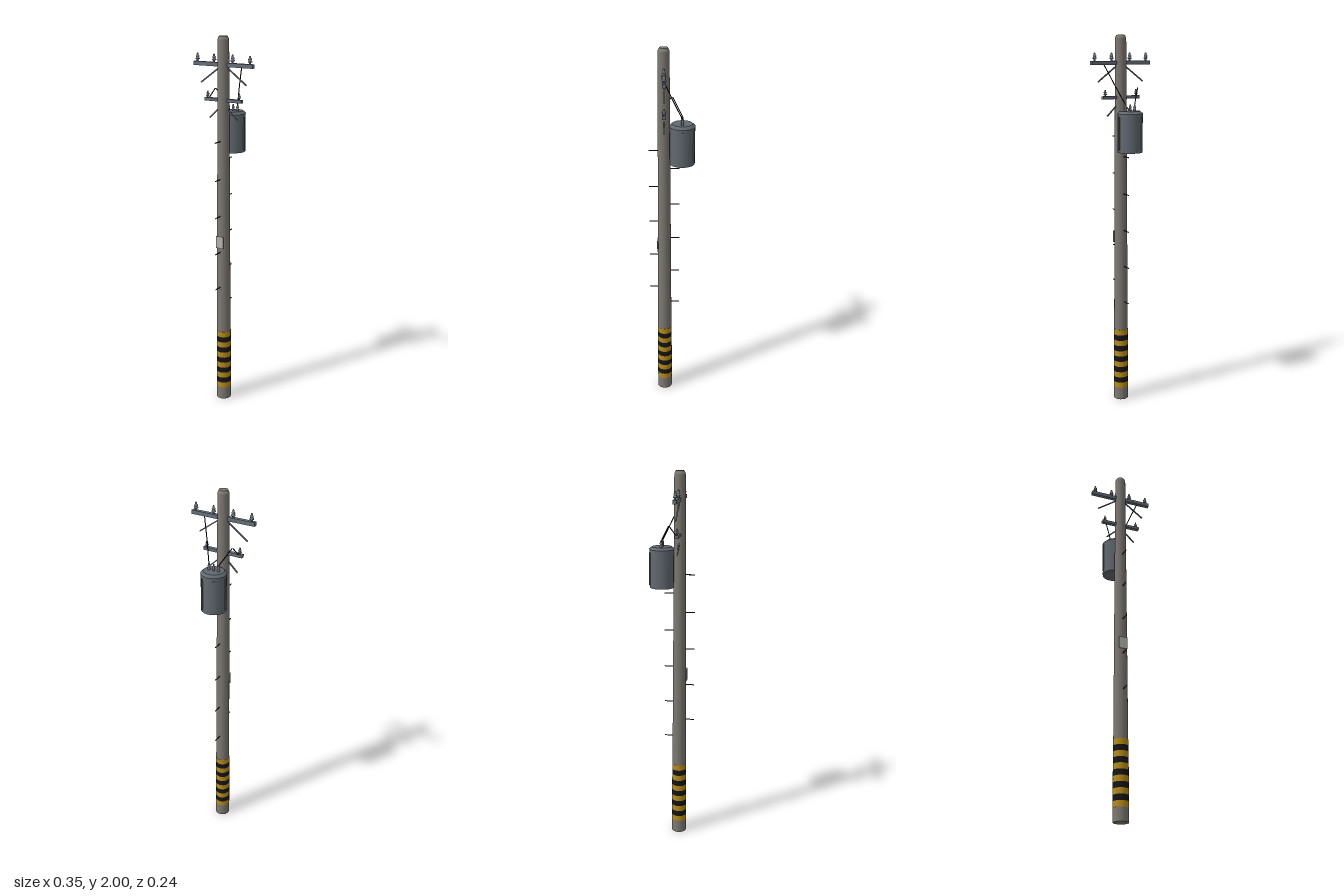
import * as THREE from 'three';

const mat = (color) => new THREE.MeshStandardMaterial({ color });
const flat = (color) => new THREE.MeshStandardMaterial({ color, flatShading: true });
const V = (x, y, z) => new THREE.Vector3(x, y, z);

const POLE_Z = 0.04;
const poleRadius = (y) => 0.04 - 0.0055 * y;

export function createModel() {
  const model = new THREE.Group();
  model.name = 'utilityPole';
  const concrete = mat(0x7d7972), steel = flat(0x66707a), tankGrey = mat(0x626970);
  const dark = mat(0x2a2a2a), black = mat(0x151515), yellow = mat(0xb88c1c);
  const insulatorGrey = mat(0x767b80), plateGrey = mat(0xb4b4b0);

  const add = (name, geometry, material, x = 0, y = 0, z = 0, parent = model) => {
    const mesh = new THREE.Mesh(geometry, material);
    mesh.name = name;
    mesh.position.set(x, y, z);
    parent.add(mesh);
    return mesh;
  };
  const lathe = (points, sides) =>
    new THREE.LatheGeometry(points.map(([r, y]) => new THREE.Vector2(r, y)), sides);

  // Tapered pole with a chamfered top
  add('pole', new THREE.CylinderGeometry(poleRadius(1.985), poleRadius(0), 1.985, 20), concrete, 0, 0.9925, POLE_Z);
  add('poleCap', new THREE.CylinderGeometry(0.022, poleRadius(1.985), 0.015, 20), concrete, 0, 1.9925, POLE_Z);

  // Warning stripes around the foot
  const bandHeight = 0.031;
  for (let i = 0; i < 11; i++) {
    const y = 0.07 + i * bandHeight;
    add('warningBand', new THREE.CylinderGeometry(poleRadius(y + bandHeight) + 0.001, poleRadius(y) + 0.001, bandHeight, 20),
      i % 2 ? black : yellow, 0, y + bandHeight / 2, POLE_Z);
  }

  // Number plate on the front
  add('plate', new THREE.BoxGeometry(0.047, 0.065, 0.004), plateGrey, 0, 0.932, 0.079);
  add('plateMount', new THREE.BoxGeometry(0.02, 0.04, 0.01), dark, 0, 0.932, 0.073);

  // Climbing pegs, alternating front and back
  for (let i = 0; i < 10; i++) {
    const side = i % 2 ? 1 : -1;
    const peg = add('climbingPeg', new THREE.CylinderGeometry(0.0028, 0.0028, 0.05, 8), dark,
      0, 0.575 + i * 0.1, POLE_Z + side * 0.055);
    peg.rotation.x = Math.PI / 2;
  }

  // Ribbed pin insulator
  const insulator = lathe([[0, 0], [0.005, 0], [0.005, 0.008], [0.011, 0.01], [0.011, 0.014], [0.006, 0.019],
    [0.009, 0.022], [0.009, 0.026], [0.005, 0.031], [0.005, 0.037], [0.003, 0.041], [0, 0.041]], 12);

  // Crossarms with their insulators and diagonal struts
  const crossarm = (name, y, halfWidth, height, xs, scale, inner, outer) => {
    const arm = new THREE.Group();
    arm.name = name;
    model.add(arm);
    add('beam', new THREE.BoxGeometry(halfWidth * 2, height, 0.02), steel, 0, y, POLE_Z, arm);
    for (const x of xs) add('insulator', insulator, insulatorGrey, x, y + height / 2, POLE_Z, arm).scale.setScalar(scale);
    for (const s of [-1, 1]) {
      const dx = outer[0] - inner[0], dy = outer[1] - inner[1];
      const strut = add('strut', new THREE.BoxGeometry(Math.hypot(dx, dy), 0.006, 0.006), steel,
        s * (inner[0] + outer[0]) / 2, (inner[1] + outer[1]) / 2, POLE_Z, arm);
      strut.rotation.z = s * Math.atan2(dy, dx);
    }
  };
  crossarm('upperCrossarm', 1.86, 0.175, 0.02, [-0.155, -0.055, 0.055, 0.155], 1, [0.01, 1.855], [0.135, 1.765]);
  crossarm('lowerCrossarm', 1.683, 0.11, 0.016, [-0.094, 0.094], 0.8, [0.01, 1.655], [0.082, 1.588]);

  // Transformer tank with bevelled lid, side fins and bushings
  const tank = new THREE.Group();
  tank.name = 'transformer';
  tank.position.set(0, 1.405, -0.053);
  model.add(tank);
  add('tankBody', new THREE.CylinderGeometry(0.065, 0.065, 0.2, 20), tankGrey, 0, 0.1, 0, tank);
  add('tankLid', new THREE.CylinderGeometry(0.053, 0.067, 0.013, 20), tankGrey, 0, 0.2065, 0, tank);
  for (let i = 0; i < 4; i++) {
    const a = Math.PI * (i / 3);
    const fin = add('fin', new THREE.BoxGeometry(0.008, 0.17, 0.008), tankGrey,
      0.066 * Math.cos(a), 0.1, -0.066 * Math.sin(a), tank);
    fin.rotation.y = a;
  }
  const bushing = lathe([[0, 0], [0.007, 0], [0.007, 0.01], [0.005, 0.013], [0.007, 0.017],
    [0.007, 0.022], [0.004, 0.027], [0.004, 0.034], [0, 0.034]], 12);
  for (const x of [-0.027, 0, 0.027]) add('bushing', bushing, insulatorGrey, x, 0.212, 0, tank);
  add('tankBracket', new THREE.BoxGeometry(0.03, 0.14, 0.02), dark, 0, 1.505, 0.01);

  // Leads from the crossarms to the bushings
  const lead = (name, points) => {
    const path = new THREE.CurvePath();
    for (let i = 1; i < points.length; i++) path.add(new THREE.LineCurve3(points[i - 1], points[i]));
    add(name, new THREE.TubeGeometry(path, 16, 0.0028, 6), black);
  };
  lead('rightLead', [V(-0.09, 1.69, 0.032), V(-0.077, 1.735, -0.005), V(-0.027, 1.648, -0.053)]);
  lead('leftLead', [V(0.105, 1.855, 0.036), V(0.067, 1.755, -0.005), V(0.027, 1.648, -0.053)]);

  return model;
}
